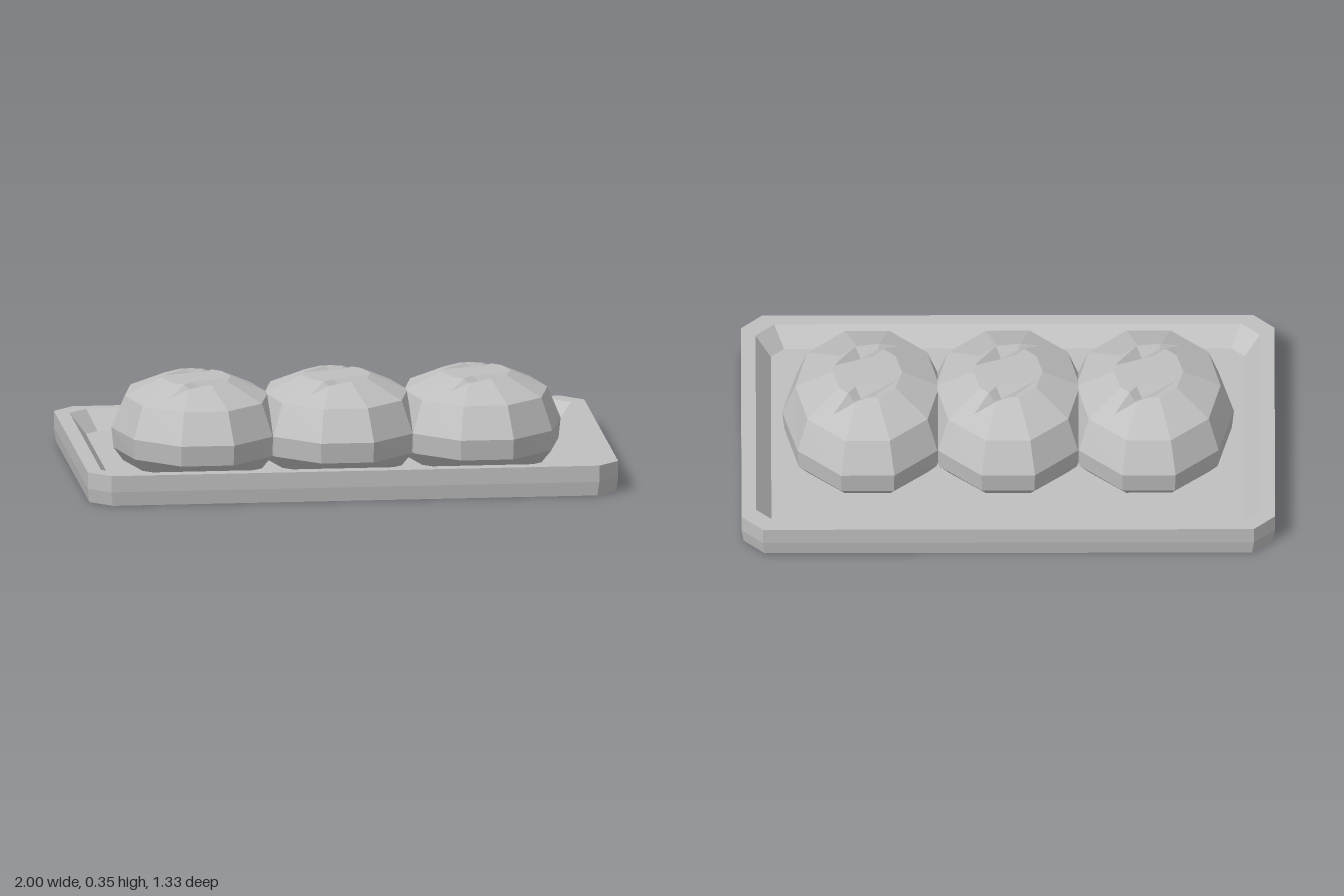
import * as THREE from 'three';

const V = (x, y, z) => new THREE.Vector3(x, y, z);

// Faceted geometry from convex polygons
function facets(polys) {
  const pos = [];
  for (const p of polys)
    for (let i = 1; i < p.length - 1; i++)
      for (const v of [p[0], p[i], p[i + 1]]) pos.push(v.x, v.y, v.z);
  const g = new THREE.BufferGeometry();
  g.setAttribute('position', new THREE.Float32BufferAttribute(pos, 3));
  g.computeVertexNormals();
  return g;
}

// Quads joining each ring to the next
function loft(rings) {
  const out = [];
  for (let r = 0; r < rings.length - 1; r++) {
    const a = rings[r], b = rings[r + 1], n = a.length;
    for (let i = 0; i < n; i++) {
      const j = (i + 1) % n;
      out.push([a[i], b[i], b[j], a[j]]);
    }
  }
  return out;
}

// Rectangle with cut corners
function trayRing(y, x, z, c) {
  return [[x, z - c], [x - c, z], [c - x, z], [-x, z - c], [-x, c - z], [c - x, -z], [x - c, -z], [x, c - z]]
    .map(([px, pz]) => V(px, y, pz));
}

// Ten-sided bun outline: end, shoulder and side points, mirrored
function bunRing(y, ax, az, bx, bz, cx) {
  return [[cx, 0], [bx, bz], [ax, az], [-ax, az], [-bx, bz], [-cx, 0], [-bx, -bz], [-ax, -az], [ax, -az], [bx, -bz]]
    .map(([px, pz]) => V(px, y, pz));
}

const side = (p, q, v) => (q.x - p.x) * (v.z - p.z) - (q.z - p.z) * (v.x - p.x);

// Split a polygon along the vertical plane through p and q
function split(poly, p, q) {
  const inside = [], outside = [];
  poly.forEach((a, i) => {
    const b = poly[(i + 1) % poly.length];
    const sa = side(p, q, a), sb = side(p, q, b);
    if (sa >= 0) inside.push(a);
    if (sa <= 0) outside.push(a);
    if (sa * sb < 0) {
      const m = a.clone().lerp(b, sa / (sa - sb));
      inside.push(m);
      outside.push(m);
    }
  });
  return [inside, outside];
}

// Cut a V-shaped score with rim A, P, B, Q and lowest point M into the crust
function score(polys, rim, M, depth) {
  const out = [];
  for (const poly of polys) {
    let rest = poly;
    rim.forEach((p, i) => {
      if (rest.length < 3) return;
      const [inside, outside] = split(rest, p, rim[(i + 1) % 4]);
      if (outside.length > 2) out.push(outside);
      rest = inside;
    });
    if (rest.length < 3) continue;
    rim.forEach((p, i) => {
      const q = rim[(i + 1) % 4];
      let part = rest;
      for (const [s, e] of [[p, q], [q, M], [M, p]])
        if (part.length > 2) part = split(part, s, e)[0];
      if (part.length < 3) return;
      const full = side(p, q, M);
      out.push(part.map(v => V(v.x, v.y - depth * side(p, q, v) / full, v.z)));
    });
  }
  return out;
}

function bunGeometry() {
  const foot = bunRing(0.04, 0.085, 0.34, 0.225, 0.21, 0.275);
  const low = bunRing(0.09, 0.098, 0.392, 0.258, 0.24, 0.312);
  const wide = bunRing(0.167, 0.1, 0.4, 0.262, 0.245, 0.32);
  const shoulder = bunRing(0.287, 0.083, 0.342, 0.225, 0.208, 0.27);
  const top = bunRing(0.353, 0.04, 0.162, 0.105, 0.1, 0.13);

  // Upper crust in triangles, scored twice
  let crust = [[...top].reverse()];
  for (const [a, b, c, d] of loft([shoulder, top])) crust.push([a, b, c], [a, c, d]);
  for (const dz of [0, 0.25]) {
    const rim = [[-0.12, -0.04], [-0.026, -0.15], [0.128, -0.213], [0.045, -0.092]]
      .map(([x, z]) => V(x, 0, z + dz));
    crust = score(crust, rim, V(0.025, 0, -0.125 + dz), 0.035);
  }
  return facets([foot, ...loft([foot, low, wide, shoulder]), ...crust]);
}

export function createModel() {
  const group = new THREE.Group();
  const grey = new THREE.MeshStandardMaterial({ color: 0xbfbfbf });
  grey.name = 'plain grey';

  // Tray: outer wall, rim, sloping inner wall and floor
  const rings = [
    trayRing(0, 0.993, 0.66, 0.08),
    trayRing(0.053, 1, 0.667, 0.08),
    trayRing(0.115, 1, 0.667, 0.08),
    trayRing(0.115, 0.945, 0.612, 0.07),
    trayRing(0.04, 0.888, 0.558, 0.05),
  ];
  const tray = new THREE.Mesh(facets([rings[0], ...loft(rings), [...rings[4]].reverse()]), grey);
  tray.name = 'tray';
  group.add(tray);

  // Three scored buns in a row
  const bun = bunGeometry();
  ['rightBun', 'middleBun', 'leftBun'].forEach((name, i) => {
    const mesh = new THREE.Mesh(bun, grey);
    mesh.name = name;
    mesh.position.x = (i - 1) * 0.527;
    group.add(mesh);
  });
  return group;
}
